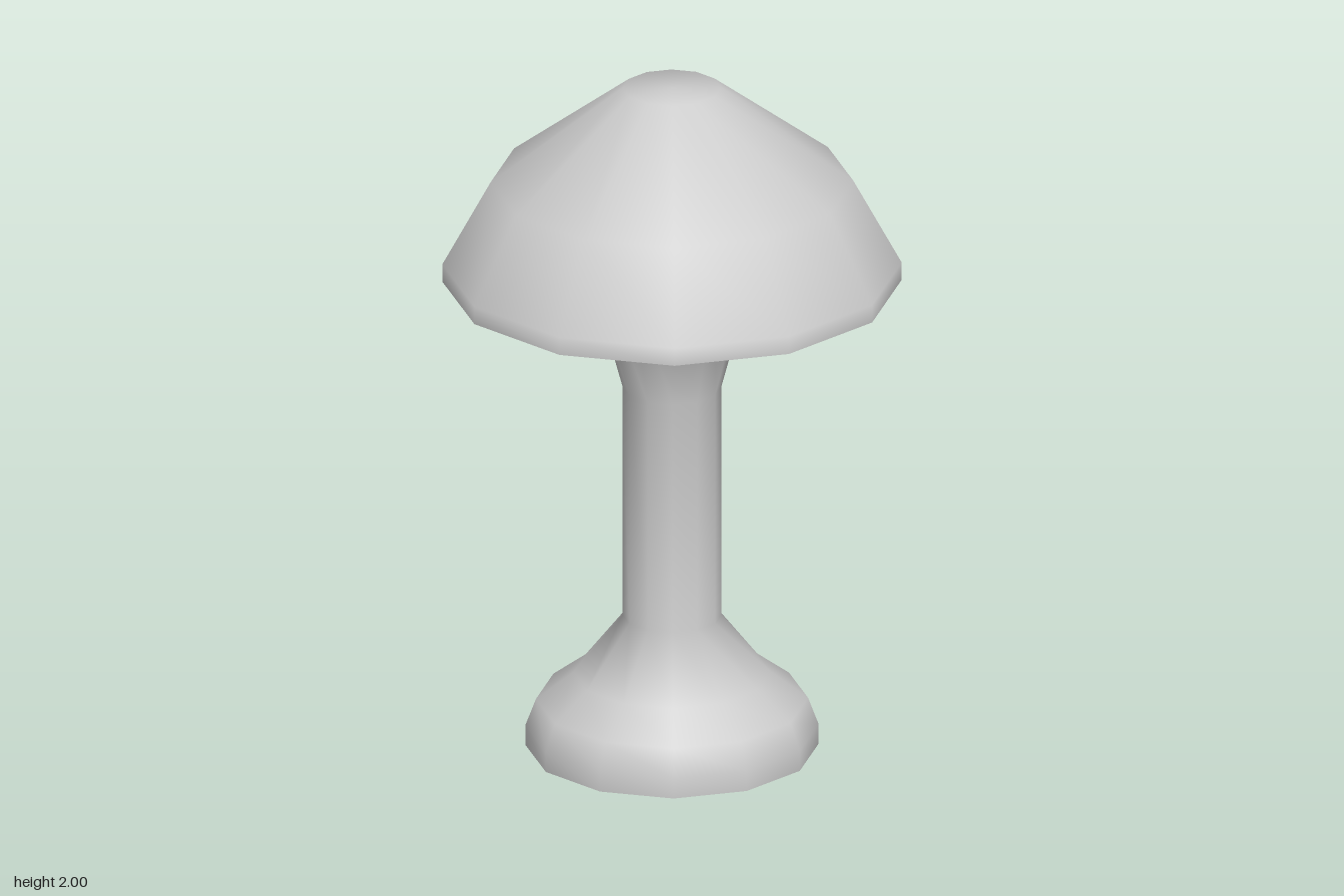
import * as THREE from 'three';

const SIDES = 12;

export function createModel() {
  const group = new THREE.Group();
  const material = new THREE.MeshStandardMaterial({ color: 0xcccccc });

  // Turns a [radius, height] profile into a smooth twelve-sided solid
  const turned = (name, profile) => {
    const points = profile.map(([r, y]) => new THREE.Vector2(r, y));
    const mesh = new THREE.Mesh(new THREE.LatheGeometry(points, SIDES), material);
    mesh.name = name;
    group.add(mesh);
  };

  // Flat underside of the foot
  turned('footBottom', [[0, 0], [0.415, 0]]);

  // Bulging foot, straight stem and flared neck, running into the hollow cap underside
  turned('stem', [
    [0.415, 0], [0.415, 0.06], [0.385, 0.14], [0.28, 0.22], [0.14, 0.395],
    [0.14, 1.09], [0.26, 1.54], [0.65, 1.412],
  ]);

  // Domed cap with a short upright rim and a small flat top
  turned('cap', [[0.65, 1.412], [0.65, 1.465], [0.513, 1.715], [0.14, 2], [0, 2]]);

  return group;
}
